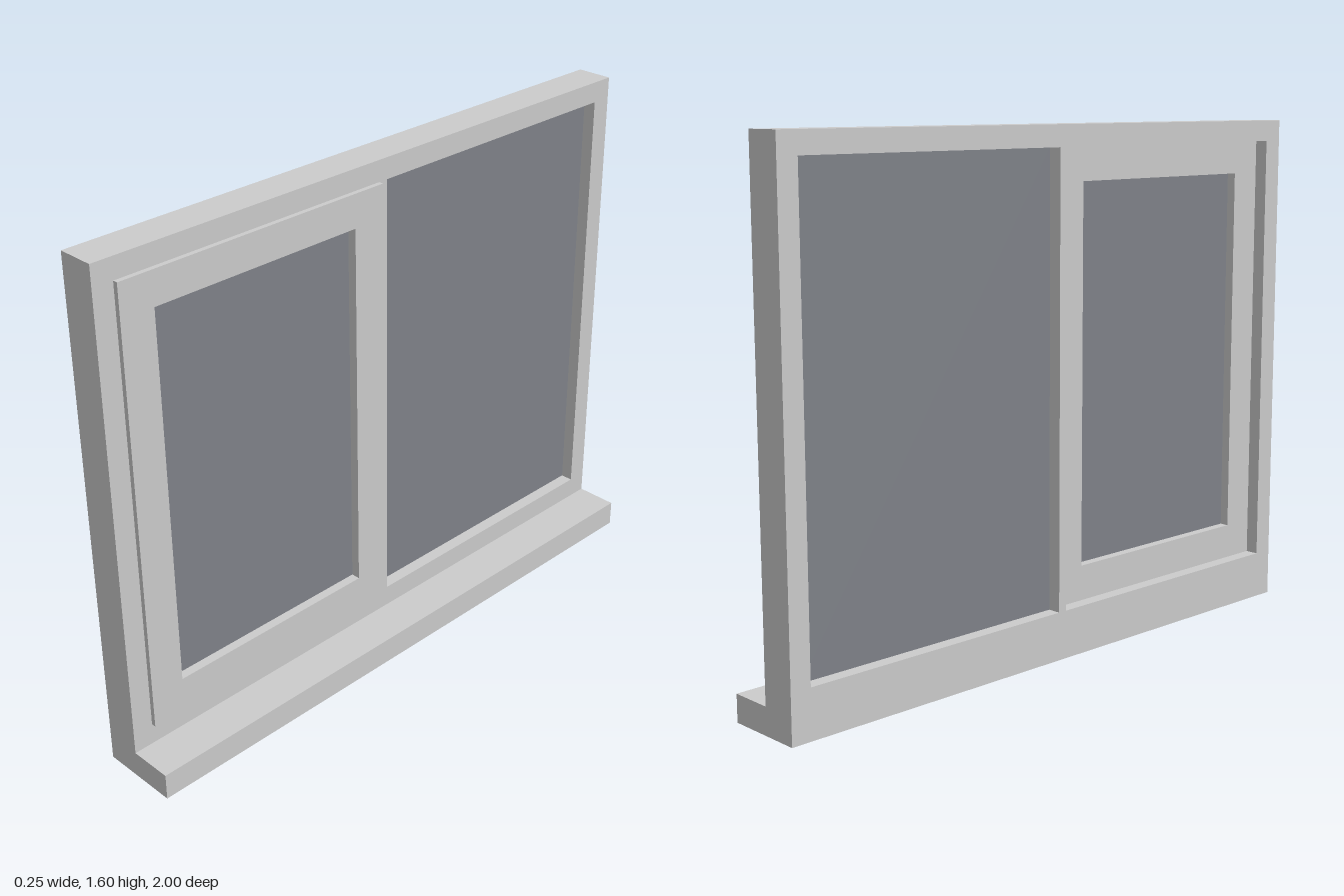
import * as THREE from 'three';

const frameMaterial = new THREE.MeshStandardMaterial({ color: 0xcccccc });
const glassMaterial = new THREE.MeshStandardMaterial({ color: 0x7f8289 });

// Rectangles are [z0, z1, y0, y1]; every part spans x0..x1 in depth.
const OPENING_L = [0.018, 0.935, 0.15, 1.535];
const OPENING_R = [-0.935, -0.012, 0.15, 1.535];
const SASH_OPENING = [0.126, 0.828, 0.26, 1.432];

function trace(path, [z0, z1, y0, y1]) {
  path.moveTo(-z1, y0);
  path.lineTo(-z0, y0);
  path.lineTo(-z0, y1);
  path.lineTo(-z1, y1);
  path.closePath();
  return path;
}

// Flat panel with rectangular holes, extruded along x
function panel(name, outer, holes, x0, x1) {
  const shape = trace(new THREE.Shape(), outer);
  shape.holes = holes.map((h) => trace(new THREE.Path(), h));
  const geometry = new THREE.ExtrudeGeometry(shape, { depth: x1 - x0, bevelEnabled: false });
  geometry.rotateY(Math.PI / 2);
  geometry.translate(x0, 0, 0);
  const mesh = new THREE.Mesh(geometry, frameMaterial);
  mesh.name = name;
  return mesh;
}

function box(name, [z0, z1, y0, y1], x0, x1, material) {
  const mesh = new THREE.Mesh(new THREE.BoxGeometry(x1 - x0, y1 - y0, z1 - z0), material);
  mesh.position.set((x0 + x1) / 2, (y0 + y1) / 2, (z0 + z1) / 2);
  mesh.name = name;
  return mesh;
}

export function createModel() {
  const group = new THREE.Group();
  group.name = 'slidingWindow';

  // Outer frame with its mullion, and the projecting sill
  group.add(panel('outerFrame', [-1, 1, 0, 1.6], [OPENING_L, OPENING_R], -0.125, -0.01));
  group.add(box('sill', [-1, 1, 0, 0.083], -0.01, 0.125, frameMaterial));

  // Fixed pane
  group.add(box('fixedGlass', OPENING_R, -0.083, -0.05, glassMaterial));

  // Opening sash, slightly proud of the frame
  const sash = new THREE.Group();
  sash.name = 'sash';
  sash.add(panel('sashFrame', OPENING_L, [SASH_OPENING], -0.083, 0.005));
  sash.add(box('sashGlass', SASH_OPENING, -0.054, -0.024, glassMaterial));
  group.add(sash);

  return group;
}
